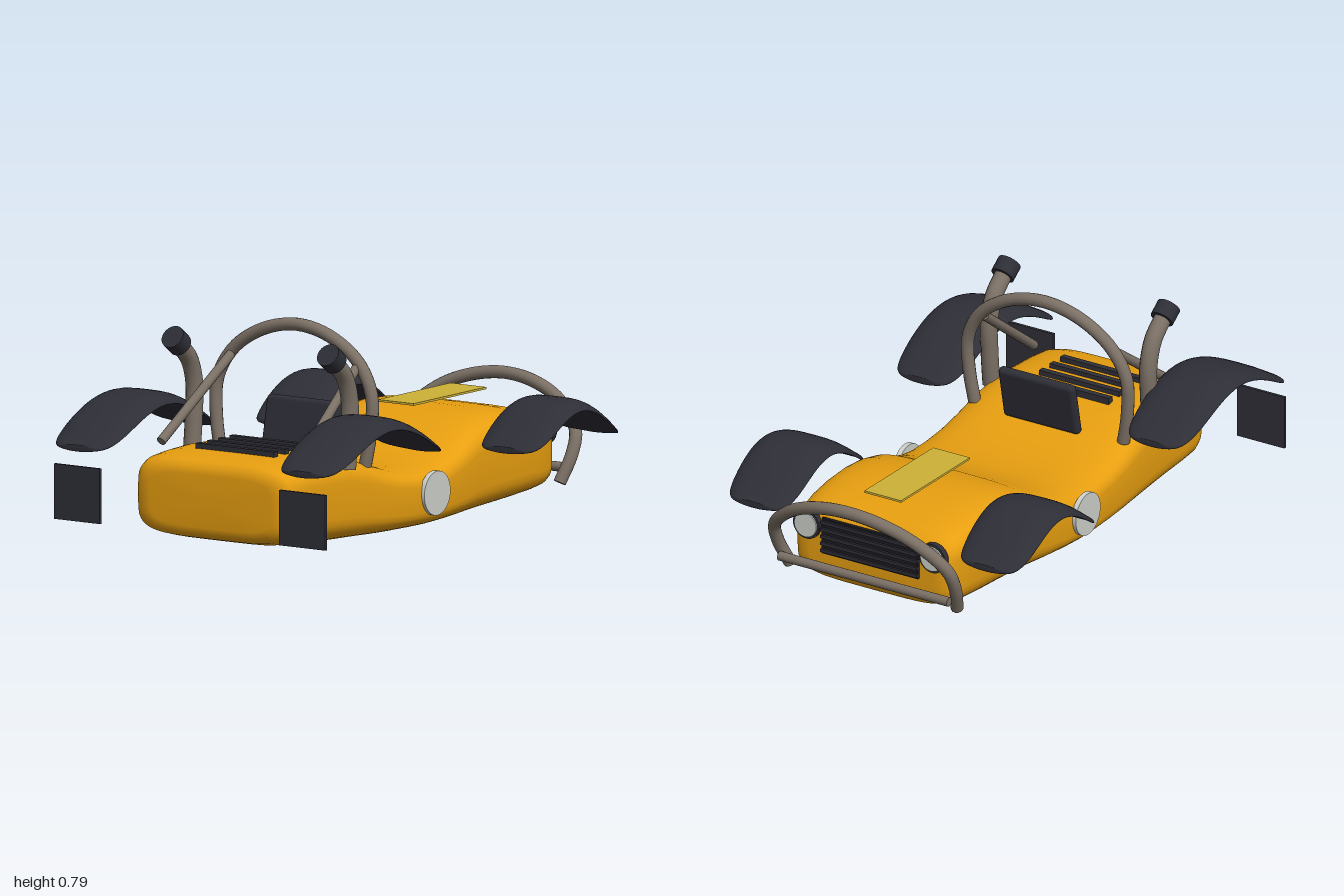
import * as THREE from 'three';
import { RoundedBoxGeometry } from 'three/addons/geometries/RoundedBoxGeometry.js';

const mat = (name, color) => Object.assign(new THREE.MeshStandardMaterial({ color }), { name });
const V = (x, y, z) => new THREE.Vector3(x, y, z);

// Closed skin over rings that run from +z to -z, with fan caps on both ends
function loft(rings) {
  const n = rings[0].length, pos = [], idx = [];
  rings.forEach(r => r.forEach(p => pos.push(p.x, p.y, p.z)));
  for (let i = 0; i < rings.length - 1; i++) {
    for (let j = 0; j < n; j++) {
      const a = i * n + j, b = i * n + (j + 1) % n, c = a + n, d = b + n;
      idx.push(a, c, b, b, c, d);
    }
  }
  [0, rings.length - 1].forEach((r, last) => {
    const c = rings[r].reduce((s, p) => s.add(p), V(0, 0, 0)).divideScalar(n);
    const k = pos.length / 3;
    pos.push(c.x, c.y, c.z);
    for (let j = 0; j < n; j++) {
      const a = r * n + j, b = r * n + (j + 1) % n;
      idx.push(k, ...(last ? [b, a] : [a, b]));
    }
  });
  const g = new THREE.BufferGeometry();
  g.setAttribute('position', new THREE.Float32BufferAttribute(pos, 3));
  g.setIndex(idx);
  g.computeVertexNormals();
  return g;
}

// Rounded-rectangle-like curve
const superPoint = (t, e) => {
  const c = Math.cos(t), s = Math.sin(t);
  return [Math.sign(c) * Math.abs(c) ** (2 / e), Math.sign(s) * Math.abs(s) ** (2 / e)];
};

// Body sections: z, half width, bottom, top
const SECTIONS = [
  [0.866, 0.27, 0.085, 0.28], [0.86, 0.315, 0.06, 0.308], [0.84, 0.342, 0.043, 0.328],
  [0.80, 0.355, 0.033, 0.34], [0.72, 0.36, 0.025, 0.347], [0.6, 0.364, 0.018, 0.35],
  [0.5, 0.37, 0.013, 0.345], [0.4, 0.376, 0.01, 0.322], [0.3, 0.381, 0.007, 0.284],
  [0.2, 0.385, 0.005, 0.255], [0.1, 0.388, 0.004, 0.24], [0, 0.388, 0.003, 0.237],
  [-0.1, 0.385, 0.004, 0.252], [-0.2, 0.379, 0.005, 0.288], [-0.3, 0.371, 0.007, 0.335],
  [-0.4, 0.366, 0.01, 0.362], [-0.5, 0.364, 0.014, 0.37], [-0.6, 0.362, 0.019, 0.364],
  [-0.7, 0.358, 0.026, 0.347], [-0.77, 0.35, 0.034, 0.325], [-0.805, 0.335, 0.043, 0.305],
  [-0.82, 0.31, 0.06, 0.285], [-0.824, 0.27, 0.085, 0.26],
];

function bodyGeometry() {
  return loft(SECTIONS.map(([z, w, lo, hi]) => Array.from({ length: 48 }, (_, j) => {
    const [x, y] = superPoint(j / 48 * Math.PI * 2, 4.5);
    return V(x * w, (lo + hi) / 2 + y * (hi - lo) / 2, z);
  })));
}

// Arched mudguard with rounded corners and a slight crown
function fenderGeometry(cx, halfW, zFront, zBack, base, rise, power) {
  const rings = [], steps = 36;
  for (let i = 0; i <= steps; i++) {
    const u = -Math.cos(i / steps * Math.PI) * 0.997;
    const w = halfW * (1 - Math.abs(u) ** 4.5) ** (1 / 4.5);
    const z = THREE.MathUtils.lerp(zFront, zBack, (u + 1) / 2);
    const y = base + rise * Math.cos(u * Math.PI / 2) ** power;
    const ring = [];
    for (let j = 0; j < 28; j++) {
      const [a, b] = superPoint(j / 28 * Math.PI * 2, 2.6);
      ring.push(V(cx + a * w, y - 0.028 * Math.abs(a * w / halfW) ** 4 + b * 0.012, z));
    }
    rings.push(ring);
  }
  return loft(rings);
}

export function createModel() {
  const model = new THREE.Group();
  model.name = 'buggy';
  const orange = mat('orange paint', 0xe89f10);
  const dark = mat('charcoal', 0x2e2e37);
  const black = mat('black', 0x1b1b20);
  const metal = mat('pipe metal', 0x7b7065);
  const pale = mat('pale grey', 0xcdd0ca);
  const yellow = mat('yellow plate', 0xcdb136);

  const add = (name, geo, material, x = 0, y = 0, z = 0) => {
    const m = new THREE.Mesh(geo, material);
    m.name = name;
    m.position.set(x, y, z);
    model.add(m);
    return m;
  };
  // Round bar along points, closed with discs at both ends
  const bar = (name, pts, r) => {
    const curve = new THREE.CatmullRomCurve3(pts);
    add(name, new THREE.TubeGeometry(curve, pts.length > 2 ? 48 : 1, r, 14), metal);
    [0, 1].forEach(t => {
      const dir = curve.getTangent(t).multiplyScalar(t ? 1 : -1);
      const p = curve.getPoint(t);
      add(name + 'End', new THREE.CircleGeometry(r, 14), metal, p.x, p.y, p.z)
        .quaternion.setFromUnitVectors(V(0, 0, 1), dir);
    });
  };
  // Half path mirrored about x = 0, ending on the centre line
  const hoop = (name, half, r) => {
    const other = half.slice(0, -1).reverse().map(p => V(-p.x, p.y, p.z));
    bar(name, [...half, ...other], r);
  };

  add('body', bodyGeometry(), orange);

  // Bonnet slats
  for (let i = 0; i < 4; i++) {
    add('ventSlat', new THREE.BoxGeometry(0.35, 0.025, 0.025), dark, 0, 0.353, 0.49 + i * 0.07);
  }

  // Backrest and deck plate
  add('backrest', new RoundedBoxGeometry(0.33, 0.21, 0.038, 4, 0.018), dark, 0, 0.387, 0.29).rotation.x = -0.2;
  add('deckPlate', new THREE.BoxGeometry(0.16, 0.008, 0.455), yellow, 0, 0.395, -0.522);

  // Main hoop and tail hoop
  hoop('rollHoop', [V(0.325, 0.28, 0.35), V(0.345, 0.4, 0.345), V(0.345, 0.54, 0.338),
    V(0.28, 0.655, 0.33), V(0.15, 0.738, 0.325), V(0, 0.768, 0.322)], 0.024);
  hoop('tailHoop', [V(0.365, 0.065, -0.81), V(0.387, 0.17, -0.858), V(0.375, 0.25, -0.895),
    V(0.27, 0.345, -0.94), V(0.14, 0.397, -0.965), V(0, 0.415, -0.975)], 0.024);
  bar('tailCrossbar', [V(-0.37, 0.112, -0.87), V(0.37, 0.112, -0.87)], 0.018);

  // Grille
  add('grillePanel', new THREE.BoxGeometry(0.42, 0.14, 0.014), black, 0, 0.22, -0.829);
  for (let i = 0; i < 5; i++) {
    add('grilleSlat', new THREE.BoxGeometry(0.42, 0.012, 0.014), dark, 0, 0.164 + i * 0.028, -0.838);
  }

  for (const s of [1, -1]) {
    add('frontFender', fenderGeometry(s * 0.505, 0.147, 0.998, 0.255, 0.352, 0.155, 1.1), dark);
    add('rearFender', fenderGeometry(s * 0.505, 0.147, -0.265, -0.845, 0.272, 0.148, 1.2), dark);
    add('mudFlap', new THREE.BoxGeometry(0.206, 0.204, 0.012), dark, s * 0.505, 0.184, 0.99);

    // Brace from the hoop down to the bonnet
    bar('brace', [V(s * 0.28, 0.635, 0.345), V(s * 0.318, 0.36, 0.73)], 0.018);

    // Intake stack with cap
    bar('stack', [V(s * 0.348, 0.29, 0.495), V(s * 0.348, 0.42, 0.483), V(s * 0.348, 0.54, 0.48),
      V(s * 0.348, 0.63, 0.51), V(s * 0.348, 0.695, 0.575)], 0.033);
    add('stackCap', new THREE.CylinderGeometry(0.045, 0.045, 0.06, 24), dark, s * 0.348, 0.71, 0.592)
      .rotation.x = 0.93;

    // Side disc
    add('sideDisc', new THREE.CylinderGeometry(0.082, 0.082, 0.02, 32), pale, s * 0.39, 0.14, 0.003)
      .rotation.z = Math.PI / 2;

    // Lamp: dark rim and pale lens
    add('lampRim', new THREE.CylinderGeometry(0.057, 0.057, 0.024, 28), dark, s * 0.275, 0.25, -0.828)
      .rotation.x = Math.PI / 2;
    add('lampLens', new THREE.CylinderGeometry(0.048, 0.048, 0.008, 28), pale, s * 0.275, 0.25, -0.842)
      .rotation.x = Math.PI / 2;
  }
  return model;
}
